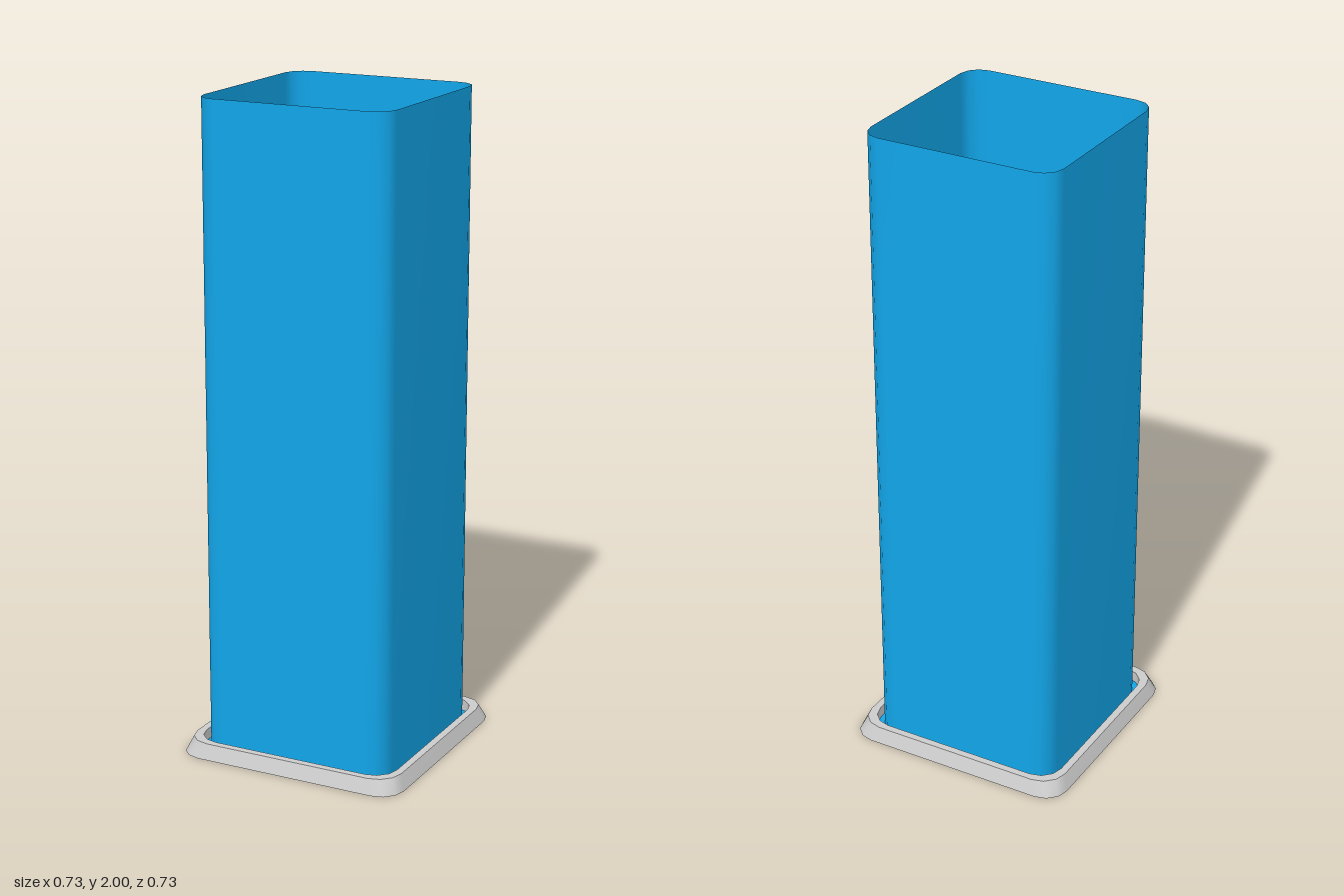
import * as THREE from 'three';
import { mergeGeometries } from 'three/addons/utils/BufferGeometryUtils.js';

const FLOOR = 0.01; // height of the floor inside the foot frame
const TOP = 0.045; // top of the foot frame
const CORNER_STEPS = 3;

// Rounded square as [x, z] points: half width h, corner radius r
function outline(h, r) {
  const points = [];
  for (let corner = 0; corner < 4; corner++) {
    const mid = (corner + 0.5) * Math.PI / 2;
    const cx = Math.sign(Math.cos(mid)) * (h - r);
    const cz = Math.sign(Math.sin(mid)) * (h - r);
    for (let i = 0; i <= CORNER_STEPS; i++) {
      const a = (corner + i / CORNER_STEPS) * Math.PI / 2;
      points.push([cx + r * Math.cos(a), cz + r * Math.sin(a)]);
    }
  }
  return points;
}

// Smooth band joining two rounded squares, each given as [half width, radius, y]
function band([h0, r0, y0], [h1, r1, y1]) {
  const a = outline(h0, r0), b = outline(h1, r1), n = a.length;
  const positions = [], index = [];
  for (let i = 0; i < n; i++) {
    positions.push(a[i][0], y0, a[i][1], b[i][0], y1, b[i][1]);
    const p = 2 * i, q = 2 * ((i + 1) % n);
    index.push(p, p + 1, q, q, p + 1, q + 1);
  }
  const geometry = new THREE.BufferGeometry();
  geometry.setAttribute('position', new THREE.Float32BufferAttribute(positions, 3));
  geometry.setIndex(index);
  geometry.computeVertexNormals();
  return geometry;
}

export function createModel() {
  const group = new THREE.Group();
  const grey = new THREE.MeshStandardMaterial({ color: 0xcccccc, side: THREE.DoubleSide });
  const blue = new THREE.MeshStandardMaterial({ color: 0x12a5e8, side: THREE.DoubleSide });
  const add = (name, geometry, material) => {
    const mesh = new THREE.Mesh(geometry, material);
    mesh.name = name;
    group.add(mesh);
  };

  // Foot frame: sloped outside, flat top, upright inside, flat underside
  const profile = [
    [0.365, 0.073, 0],
    [0.347, 0.076, TOP],
    [0.324, 0.071, TOP],
    [0.324, 0.071, 0],
  ];
  const sides = profile.map((ring, i) => band(ring, profile[(i + 1) % profile.length]));
  add('footFrame', mergeGeometries(sides), grey);

  // Thin open-topped square tube
  add('tube', band([0.305, 0.062, FLOOR], [0.305, 0.062, 2]), blue);

  // Flange joining the tube to the frame
  add('flange', band([0.324, 0.071, FLOOR], [0.295, 0.058, FLOOR]), blue);

  // Floor panel closing the tube
  const shape = new THREE.Shape(outline(0.295, 0.058).map(([x, z]) => new THREE.Vector2(x, z)));
  const panel = new THREE.ShapeGeometry(shape).rotateX(-Math.PI / 2).translate(0, FLOOR, 0);
  add('floorPanel', panel, grey);

  return group;
}
